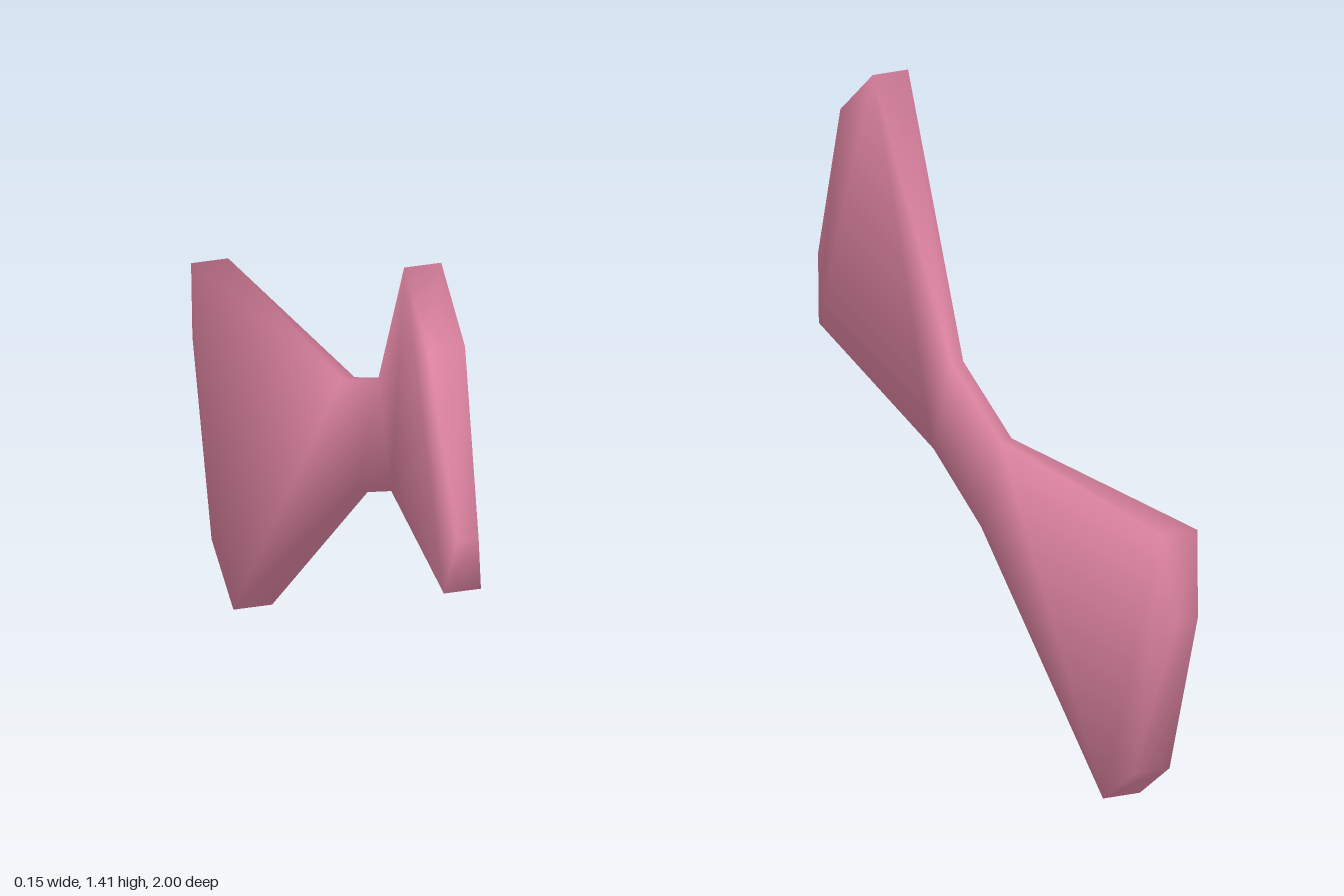
import * as THREE from 'three';

// Rounded-looking normals: every touching face counts equally, whatever its size
function softenNormals(geometry) {
  const position = geometry.attributes.position;
  const index = geometry.index.array;
  const sums = Array.from({ length: position.count }, () => new THREE.Vector3());
  const corner = (i) => new THREE.Vector3().fromBufferAttribute(position, i);
  const normal = new THREE.Vector3();
  for (let t = 0; t < index.length; t += 3) {
    const [a, b, c] = index.slice(t, t + 3);
    new THREE.Triangle(corner(a), corner(b), corner(c)).getNormal(normal);
    for (const i of [a, b, c]) sums[i].add(normal);
  }
  const normals = sums.flatMap((v) => v.normalize().toArray());
  geometry.setAttribute('normal', new THREE.Float32BufferAttribute(normals, 3));
}

export function createModel() {
  const group = new THREE.Group();
  const pink = new THREE.MeshStandardMaterial({ color: 0xe085a3 });
  pink.name = 'rose pink';

  // Outline of the bow: z, y, and x of its back and front surfaces
  const outline = [
    // front wing
    [0.645, 1.412, -0.077, 0.016],
    [0.825, 1.268, -0.077, 0.016],
    [1.0, 0.845, -0.062, -0.008],
    [0.945, 0.69, -0.077, 0.016],
    // underside of the knot
    [0.18, 0.627, 0.045, 0.076],
    [-0.085, 0.515, 0.045, 0.076],
    // rear wing
    [-0.645, 0.0, -0.077, 0.02],
    [-0.81, 0.115, -0.077, 0.016],
    [-1.0, 0.56, -0.062, -0.008],
    [-0.965, 0.767, -0.077, 0.016],
    // top of the knot
    [-0.19, 0.767, 0.045, 0.076],
    [0.08, 0.875, 0.045, 0.076],
  ];
  const n = outline.length;

  const positions = [];
  for (const [z, y, , front] of outline) positions.push(front, y, z);
  for (const [z, y, back] of outline) positions.push(back, y, z);

  // Each wing from its end to the knot, then the knot itself
  const sheet = [[11, 4, 5], [11, 5, 10]];
  for (const o of [0, 6]) {
    for (const tri of [[0, 1, 3], [1, 2, 3], [0, 3, 4], [0, 4, 11]]) {
      sheet.push(tri.map((i) => (i + o) % n));
    }
  }

  const index = [];
  // Broad surfaces on both sides
  for (const [a, b, c] of sheet) index.push(a, b, c, n + a, n + c, n + b);
  // Narrow edge all round
  for (let i = 0; i < n; i++) {
    const j = (i + 1) % n;
    index.push(i, n + i, n + j, i, n + j, j);
  }

  const geometry = new THREE.BufferGeometry();
  geometry.setAttribute('position', new THREE.Float32BufferAttribute(positions, 3));
  geometry.setIndex(index);
  softenNormals(geometry);

  const bow = new THREE.Mesh(geometry, pink);
  bow.name = 'bow';
  group.add(bow);
  return group;
}
